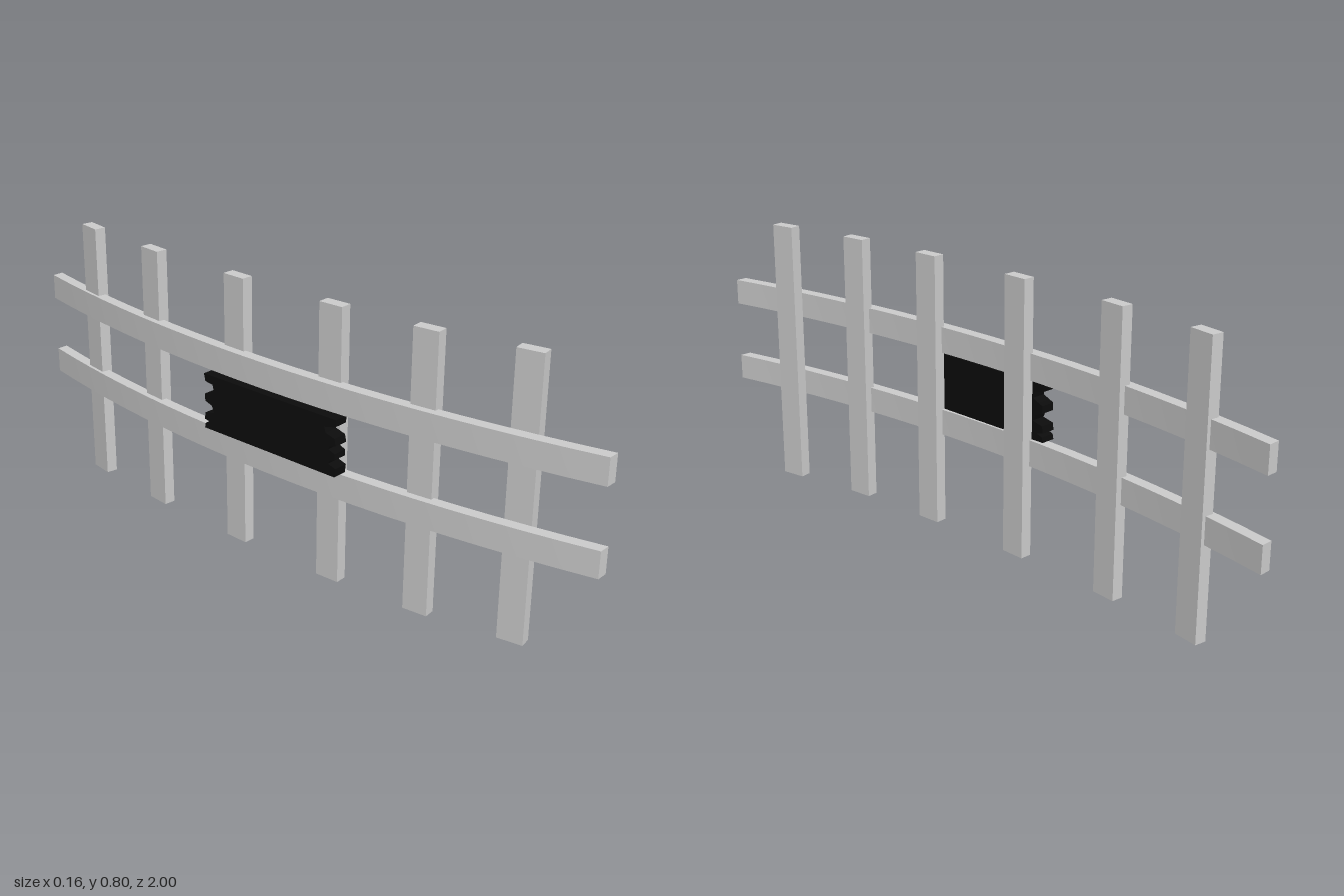
import * as THREE from 'three';
import { toCreasedNormals } from 'three/addons/utils/BufferGeometryUtils.js';

const grey = new THREE.MeshStandardMaterial({ color: 0xcccccc });
const black = new THREE.MeshStandardMaterial({ color: 0x0c0c0c });

// Bowed rail: an arc strip in plan, extruded upwards
function railGeometry(height) {
  const bow = 0.107, thickness = 0.034, segments = 20;
  const radius = (1 + bow * bow) / (2 * bow);
  const outer = [], inner = [];
  for (let i = 0; i <= segments; i++) {
    const z = -1 + (2 * i) / segments;
    const x = -0.064 + radius - Math.sqrt(radius * radius - z * z);
    outer.push(new THREE.Vector2(x, z));
    inner.push(new THREE.Vector2(x + thickness, z));
  }
  const shape = new THREE.Shape([...inner, ...outer.reverse()]);
  const geometry = new THREE.ExtrudeGeometry(shape, { depth: height, bevelEnabled: false });
  geometry.rotateX(-Math.PI / 2);
  return toCreasedNormals(geometry, 0.5);
}

// Sign board with splintered ends; outline given as [z, y]
function boardGeometry() {
  const outline = [
    [-0.208, 0.51], [-0.203, 0.488], [-0.175, 0.484], [-0.17, 0.465], [-0.19, 0.456],
    [-0.205, 0.45], [-0.205, 0.428], [-0.18, 0.42], [-0.17, 0.4], [-0.205, 0.392],
    [-0.208, 0.372], [-0.185, 0.367], [-0.205, 0.36], [-0.208, 0.345],
    [0.272, 0.345], [0.275, 0.37], [0.25, 0.378], [0.255, 0.388], [0.272, 0.395],
    [0.272, 0.412], [0.25, 0.42], [0.255, 0.43], [0.275, 0.435], [0.27, 0.456],
    [0.24, 0.464], [0.235, 0.48], [0.272, 0.489], [0.275, 0.51],
  ];
  const shape = new THREE.Shape(outline.map(([z, y]) => new THREE.Vector2(z, y)));
  const geometry = new THREE.ExtrudeGeometry(shape, { depth: 0.043, bevelEnabled: false });
  geometry.rotateY(-Math.PI / 2);
  geometry.translate(-0.037, 0, 0);
  return geometry;
}

export function createModel() {
  const group = new THREE.Group();
  const add = (name, geometry, material) => {
    const mesh = new THREE.Mesh(geometry, material);
    mesh.name = name;
    group.add(mesh);
    return mesh;
  };

  // Two curved rails
  const rail = railGeometry(0.076);
  add('lowerRail', rail, grey).position.y = 0.269;
  add('upperRail', rail, grey).position.y = 0.516;

  // Upright posts, each turned to follow the curve: [x, z, turn]
  const post = new THREE.BoxGeometry(0.034, 0.8, 0.074);
  [
    [0.051, 0.768, 0.16], [0.002, 0.5, 0.1], [-0.017, 0.211, 0.04],
    [-0.019, -0.132, -0.03], [-0.005, -0.478, -0.1], [0.027, -0.775, -0.17],
  ].forEach(([x, z, turn], i) => {
    const mesh = add('post' + (i + 1), post, grey);
    mesh.position.set(x, 0.4, z);
    mesh.rotation.y = turn;
  });

  // Dark board between the rails
  add('signBoard', boardGeometry(), black);

  return group;
}
